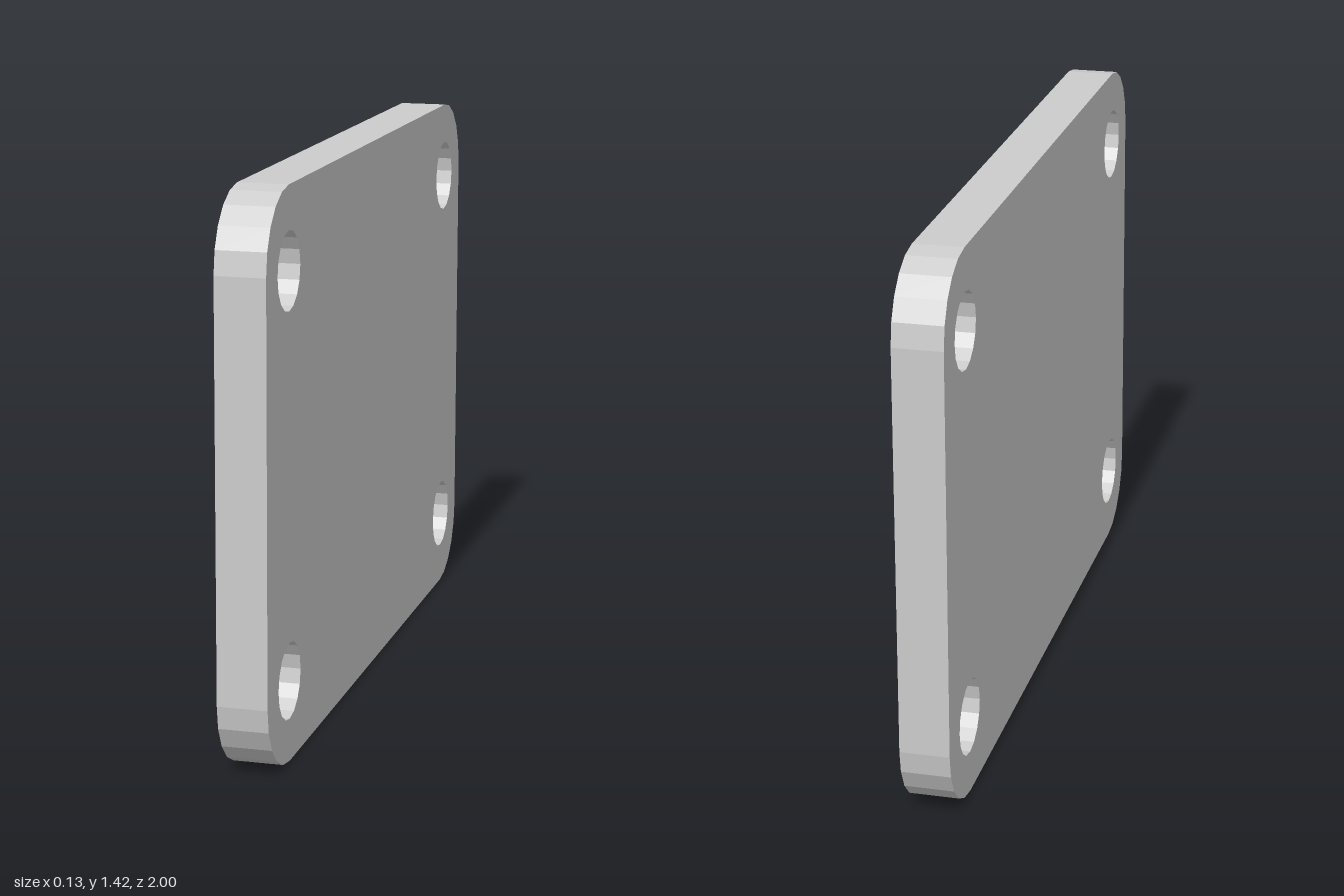
import * as THREE from 'three';

const HEIGHT = 1.42, LENGTH = 2, THICKNESS = 0.126;
const CORNER = 0.19, HOLE = 0.097;
const HOLE_Z = 0.81, HOLE_Y = 0.505; // hole centres, from the plate centre

// Points along a circular arc
function arc(cx, cy, r, start, sweep, steps) {
  return Array.from({ length: steps + 1 }, (_, i) => {
    const a = start + (sweep * i) / steps;
    return new THREE.Vector2(cx + r * Math.cos(a), cy + r * Math.sin(a));
  });
}

export function createModel() {
  const group = new THREE.Group();
  group.name = 'mountingPlate';

  const outline = [], holes = [];
  [[1, 1], [-1, 1], [-1, -1], [1, -1]].forEach(([sx, sy], i) => {
    // Faceted rounded corner
    outline.push(...arc(sx * (LENGTH / 2 - CORNER), sy * (HEIGHT / 2 - CORNER),
      CORNER, i * Math.PI / 2, Math.PI / 2, 5));
    // Bolt hole near the same corner
    const ring = arc(sx * HOLE_Z, sy * HOLE_Y, HOLE, 0, Math.PI * 2, 16).slice(0, -1);
    holes.push(new THREE.Path(ring));
  });
  const shape = new THREE.Shape(outline);
  shape.holes.push(...holes);

  // Flat plate standing on its long edge, facing sideways
  const geometry = new THREE.ExtrudeGeometry(shape, { depth: THICKNESS, bevelEnabled: false });
  geometry.translate(0, 0, -THICKNESS / 2);
  geometry.rotateY(Math.PI / 2);

  const plate = new THREE.Mesh(geometry,
    new THREE.MeshStandardMaterial({ color: 0xcccccc, flatShading: true }));
  plate.name = 'plate';
  plate.position.y = HEIGHT / 2;
  plate.rotation.z = -0.0035; // very slight lean
  group.add(plate);
  return group;
}
